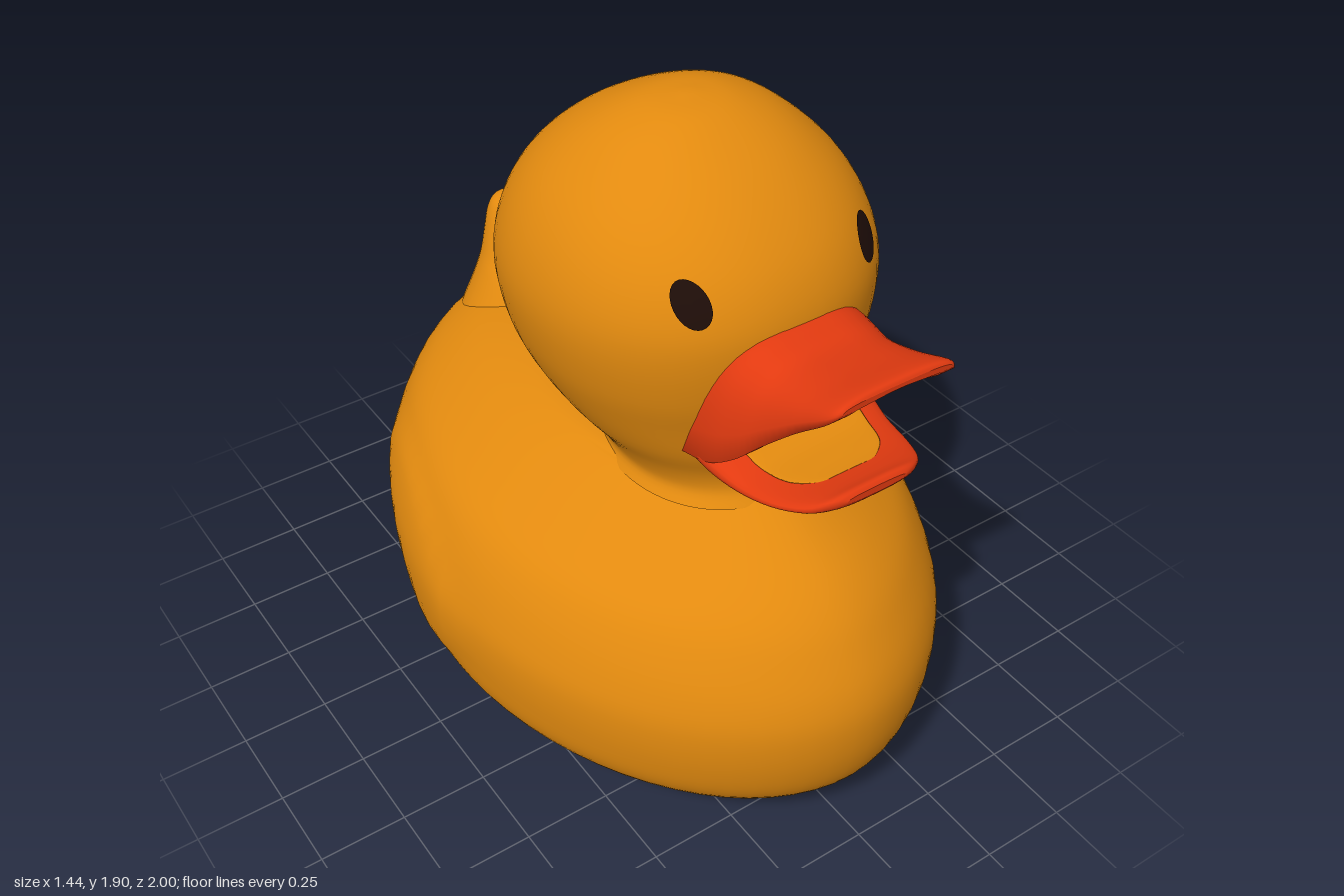
import * as THREE from 'three';

const material = (name, color, side = THREE.FrontSide) => {
  const m = new THREE.MeshStandardMaterial({ color, side });
  m.name = name;
  return m;
};

// Smooth interpolation through rows of numbers, t in 0..1
function sample(rows, t) {
  const f = t * (rows.length - 1);
  const i = Math.min(Math.floor(f), rows.length - 2);
  const u = f - i;
  const at = k => rows[Math.max(0, Math.min(rows.length - 1, k))];
  return rows[0].map((_, c) => {
    const a = at(i - 1)[c], b = at(i)[c], d = at(i + 1)[c], e = at(i + 2)[c];
    return b + 0.5 * u * (d - a + u * (2 * a - 5 * b + 4 * d - e + u * (3 * (b - d) + e - a)));
  });
}

// Skin a list of closed rings and cap both ends
function loft(rings) {
  const n = rings[0].length, pos = [], idx = [];
  rings.forEach(r => r.forEach(p => pos.push(...p)));
  for (let i = 0; i < rings.length - 1; i++) {
    for (let j = 0; j < n; j++) {
      const a = i * n + j, b = i * n + (j + 1) % n;
      idx.push(a, a + n, b, b, a + n, b + n);
    }
  }
  [rings[0], rings[rings.length - 1]].forEach((r, end) => {
    const base = pos.length / 3;
    r.forEach(p => pos.push(...p));
    pos.push(...[0, 1, 2].map(k => r.reduce((s, p) => s + p[k], 0) / n));
    for (let j = 0; j < n; j++) {
      const k = (j + 1) % n;
      idx.push(base + n, base + (end ? k : j), base + (end ? j : k));
    }
  });
  const g = new THREE.BufferGeometry();
  g.setAttribute('position', new THREE.Float32BufferAttribute(pos, 3));
  g.setIndex(idx);
  g.computeVertexNormals();
  return g;
}

const spow = (v, e) => Math.sign(v) * Math.pow(Math.abs(v), e);

// Upright form from rows of [y, front z, back z, half width]
function uprightForm(rows, power, steps = 56, sides = 64, push = () => 0) {
  const rings = [];
  for (let i = 0; i <= steps; i++) {
    const [y, zf, zb, w] = sample(rows, i / steps);
    const ring = [];
    for (let j = 0; j < sides; j++) {
      const a = j / sides * Math.PI * 2;
      const x = w * spow(Math.cos(a), 2 / power);
      const z = (zf + zb) / 2 + (zf - zb) / 2 * spow(Math.sin(a), 2 / power);
      ring.push([x + Math.sign(x) * push(Math.abs(x), y, z), y, z]);
    }
    rings.push(ring);
  }
  return loft(rings);
}

// Rows: y, front z, back z, half width
const BODY = [
  [0.003, 0.75, -0.82, 0.44], [0.03, 0.79, -0.85, 0.51], [0.1, 0.87, -0.89, 0.595],
  [0.2, 0.95, -0.93, 0.675], [0.32, 0.99, -0.965, 0.7], [0.45, 1.0, -0.99, 0.705],
  [0.55, 0.98, -1.0, 0.685], [0.65, 0.93, -0.965, 0.645], [0.73, 0.875, -0.925, 0.59],
  [0.8, 0.8, -0.87, 0.5], [0.87, 0.69, -0.75, 0.395], [0.92, 0.6, -0.54, 0.31],
  [0.937, 0.57, -0.35, 0.28], [0.947, 0.55, -0.1, 0.25]
];
const HEAD = [
  [0.92, 0.58, -0.05, 0.28], [0.96, 0.555, -0.05, 0.265], [1.02, 0.555, -0.11, 0.295],
  [1.1, 0.58, -0.21, 0.355], [1.2, 0.6, -0.295, 0.41], [1.3, 0.625, -0.34, 0.447],
  [1.42, 0.64, -0.357, 0.468], [1.52, 0.635, -0.345, 0.462], [1.62, 0.595, -0.305, 0.43],
  [1.71, 0.525, -0.24, 0.375], [1.79, 0.435, -0.15, 0.295], [1.85, 0.34, -0.045, 0.21],
  [1.888, 0.255, 0.045, 0.115], [1.9, 0.18, 0.12, 0.035], [1.902, 0.152, 0.148, 0.002]
];
const TAIL = [
  [0.76, -0.42, -0.905, 0.23], [0.82, -0.45, -0.88, 0.21], [0.89, -0.49, -0.86, 0.17],
  [0.95, -0.53, -0.85, 0.135], [0.99, -0.59, -0.845, 0.112], [1.05, -0.655, -0.84, 0.088],
  [1.1, -0.695, -0.835, 0.07], [1.135, -0.73, -0.82, 0.05], [1.15, -0.765, -0.8, 0.02],
  [1.152, -0.782, -0.786, 0.002]
];
const HEAD_POWER = 2.15;

// Front surface of the head at (x, y)
function headZ(x, y) {
  let lo = 0, hi = 1;
  for (let i = 0; i < 30; i++) {
    const mid = (lo + hi) / 2;
    if (sample(HEAD, mid)[0] < y) lo = mid; else hi = mid;
  }
  const [, zf, zb, w] = sample(HEAD, lo);
  const k = Math.max(0, 1 - Math.pow(Math.abs(x) / w, HEAD_POWER));
  return (zf + zb) / 2 + (zf - zb) / 2 * Math.pow(k, 1 / HEAD_POWER);
}

// Faint raised wing on each flank
function wingPush(x, y, z) {
  if (x < 0.25) return 0;
  const d = Math.hypot((z + 0.32) / 0.42, (y - 0.44 + 0.12 * (z + 0.32)) / 0.25);
  return 0.014 * (1 - THREE.MathUtils.smoothstep(d, 0.75, 1.05));
}

// Arched upper bill: z, top y, edge y, half width, roof thickness
function upperBill() {
  const rows = [
    [0.48, 1.47, 1.13, 0.25, 0.16], [0.6, 1.505, 1.17, 0.25, 0.14], [0.68, 1.5, 1.225, 0.232, 0.1],
    [0.75, 1.495, 1.3, 0.21, 0.07], [0.85, 1.515, 1.4, 0.193, 0.05], [0.93, 1.54, 1.47, 0.185, 0.04],
    [0.96, 1.545, 1.5, 0.175, 0.032], [0.97, 1.535, 1.515, 0.16, 0.012]
  ];
  const rings = [], steps = 32, n = 24;
  for (let i = 0; i <= steps; i++) {
    const [z, top, edge, w, t] = sample(rows, i / steps);
    const arch = (hw, h) => Array.from({ length: n + 1 }, (_, j) => {
      const a = Math.PI * (1 - j / n);
      return [hw * spow(Math.cos(a), 0.65), edge + h * Math.pow(Math.max(0, Math.sin(a)), 0.65), z];
    });
    rings.push([...arch(w, top - edge), ...arch(w - 0.04, Math.max(0.003, top - edge - t)).reverse()]);
  }
  return loft(rings);
}

// Flat bill slab from rows of z, bottom y, top y, half width
function slab(rows) {
  const rings = [], steps = 24, n = 32;
  for (let i = 0; i <= steps; i++) {
    const [z, y0, y1, w] = sample(rows, i / steps);
    rings.push(Array.from({ length: n }, (_, j) => {
      const a = j / n * Math.PI * 2;
      return [w * spow(Math.cos(a), 0.7), (y0 + y1) / 2 - (y1 - y0) / 2 * spow(Math.sin(a), 0.8), z];
    }));
  }
  return loft(rings);
}

export function createModel() {
  const group = new THREE.Group();
  const yellow = material('duck yellow', 0xe28a0f);
  const red = material('bill red', 0xe23a10);
  const black = material('eye black', 0x1e0d08, THREE.DoubleSide);
  const add = (name, geometry, mat) => {
    const mesh = new THREE.Mesh(geometry, mat);
    mesh.name = name;
    group.add(mesh);
    return mesh;
  };

  add('body', uprightForm(BODY, 1.88, 72, 72, wingPush), yellow);
  add('head', uprightForm(HEAD, HEAD_POWER), yellow);
  add('tail', uprightForm(TAIL, 2, 36, 32), yellow);

  add('upperBill', upperBill(), red);
  add('lowerBill', slab([
    [0.48, 1.1, 1.23, 0.245], [0.6, 1.108, 1.21, 0.252], [0.7, 1.115, 1.18, 0.235],
    [0.8, 1.135, 1.183, 0.212], [0.88, 1.155, 1.205, 0.175], [0.92, 1.175, 1.225, 0.13],
    [0.935, 1.195, 1.215, 0.09]
  ]), red);
  add('mouthFloor', slab([
    [0.56, 1.213, 1.222, 0.18], [0.62, 1.2, 1.209, 0.175], [0.7, 1.176, 1.185, 0.165],
    [0.78, 1.176, 1.185, 0.14], [0.83, 1.182, 1.19, 0.08]
  ]), yellow);

  // Eyes follow the curve of the head
  for (const side of [1, -1]) {
    const eye = new THREE.RingGeometry(0.001, 1, 28, 4);
    const p = eye.attributes.position;
    for (let i = 0; i < p.count; i++) {
      const x = side * 0.258 + 0.038 * p.getX(i);
      const y = 1.597 + 0.054 * p.getY(i);
      p.setXYZ(i, x, y, headZ(x, y) + 0.007);
    }
    eye.computeVertexNormals();
    add(side > 0 ? 'leftEye' : 'rightEye', eye, black);
  }

  // Air hole under the body
  const hole = add('airHole', new THREE.CircleGeometry(0.035, 20), black);
  hole.rotation.x = Math.PI / 2;

  return group;
}
